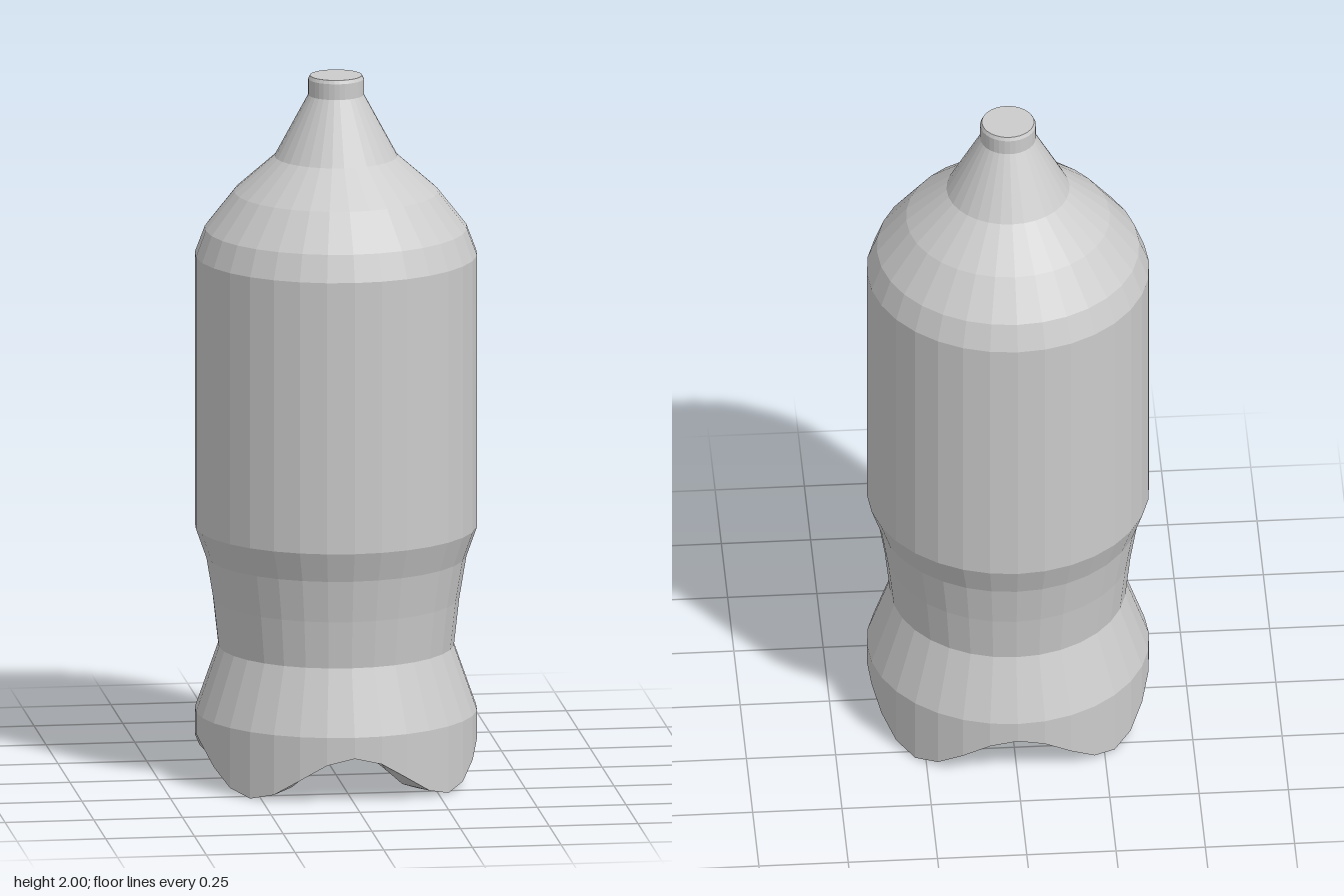
import * as THREE from 'three';

const SIDES = 32;
const ARCH = 0.13; // height of the arches between the feet

// Rings as [radius, height, foot]; foot = how far the ring drops into the four feet
const BASE = [[0, ARCH, 0], [0.19, ARCH, 0], [0.28, ARCH, 1], [0.395, ARCH, 1], [0.395, 0.19, 0]];
const BODY = [
  [0.395, 0.19], [0.33, 0.375], [0.345, 0.51], [0.365, 0.63], [0.395, 0.715],
  [0.395, 1.49], [0.367, 1.565], [0.285, 1.67], [0.172, 1.77], [0.078, 1.945],
];
const NECK = [[0.078, 1.945], [0.078, 1.99], [0.073, 2], [0, 2]];

function turned(name, rings, material) {
  const points = rings.map(([r, y]) => new THREE.Vector2(r, y));
  const geometry = new THREE.LatheGeometry(points, SIDES);
  const mesh = new THREE.Mesh(geometry, material);
  mesh.name = name;
  return mesh;
}

export function createModel() {
  const group = new THREE.Group();
  group.name = 'bottle';
  const material = new THREE.MeshStandardMaterial({ color: 0xcccccc, flatShading: true });

  // Base with four feet on the diagonals, made by lowering the foot rings
  const base = turned('footedBase', BASE, material);
  const pos = base.geometry.attributes.position;
  for (let i = 0; i < pos.count; i++) {
    const foot = BASE[i % BASE.length][2];
    const angle = Math.atan2(pos.getX(i), pos.getZ(i));
    const drop = ARCH * foot * (1 - Math.cos(4 * angle)) / 2;
    pos.setY(i, pos.getY(i) - drop);
  }
  base.geometry.computeVertexNormals();

  // Waisted body with domed shoulder, then the closed neck
  group.add(base, turned('body', BODY, material), turned('neckCap', NECK, material));
  return group;
}
